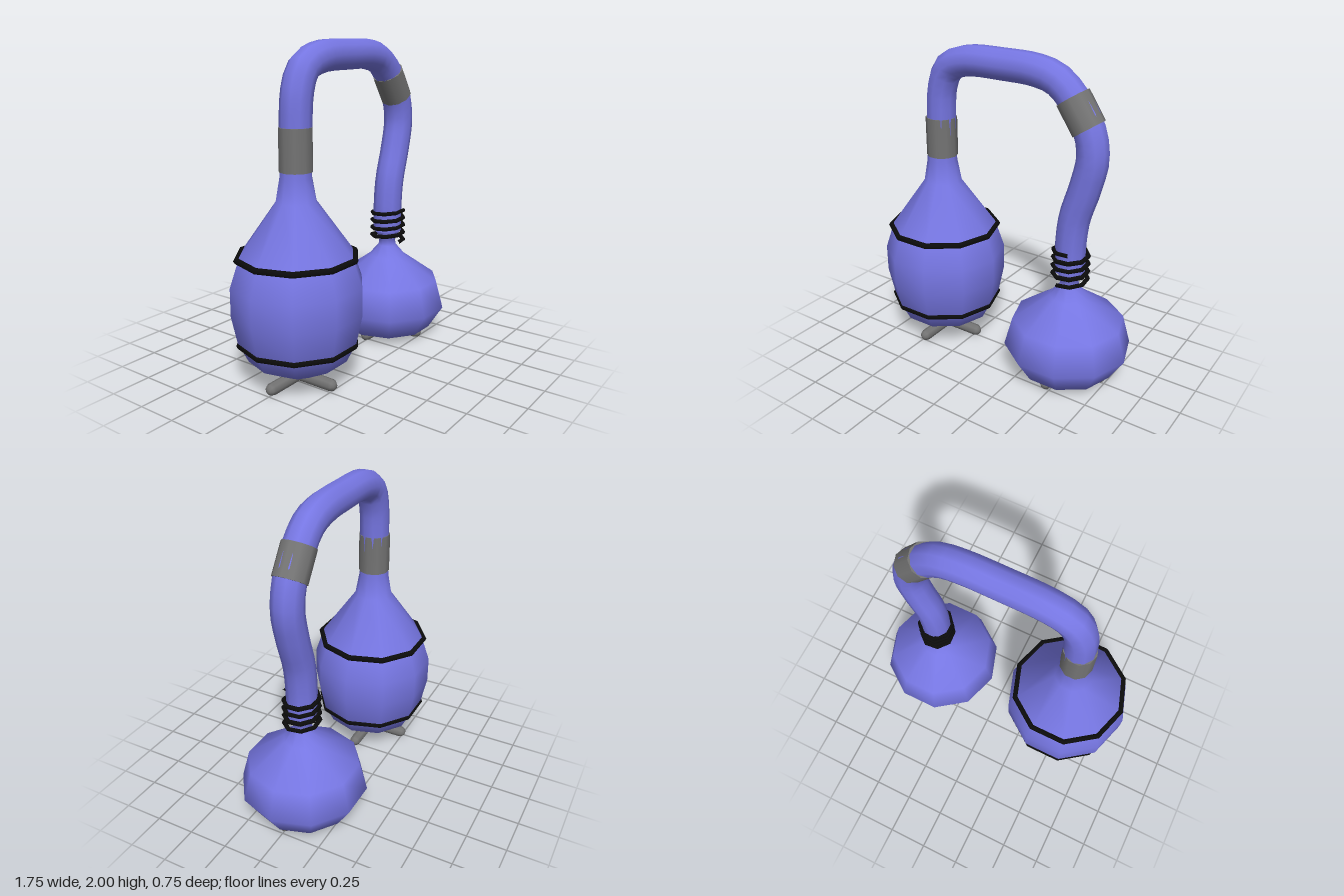
import * as THREE from 'three';

const material = (name, color) => {
  const m = new THREE.MeshStandardMaterial({ color });
  m.name = name;
  return m;
};

// Rising helix used for the spring
class Helix extends THREE.Curve {
  getPoint(t, target = new THREE.Vector3()) {
    const a = 1.27 + t * Math.PI * 2 * 4.1;
    return target.set(0.48 - 0.107 * Math.cos(a), 0.652 + 0.213 * t, 0.107 * Math.sin(a));
  }
}

export function createModel() {
  const group = new THREE.Group();
  const blue = material('periwinkle', 0x7676e2);
  const grey = material('grey', 0x747474);
  const black = material('black', 0x0c0c0c);

  const add = (name, geometry, mat, x = 0, y = 0, z = 0) => {
    const mesh = new THREE.Mesh(geometry, mat);
    mesh.name = name;
    mesh.position.set(x, y, z);
    group.add(mesh);
    return mesh;
  };

  // Ten-sided vessels with a corner on the x axis
  const vessel = (name, x, profile) => add(name, new THREE.LatheGeometry(
    profile.map(([r, y]) => new THREE.Vector2(r, y)), 10, Math.PI / 2), blue, x);

  vessel('tallVessel', -0.48, [[0, 0.05], [0.12, 0.06], [0.3, 0.16], [0.36, 0.28],
    [0.395, 0.45], [0.395, 0.62], [0.335, 0.8], [0.12, 1.1], [0.095, 1.24], [0.09, 1.32]]);
  vessel('squatVessel', 0.477, [[0, 0.045], [0.3, 0.055], [0.395, 0.205], [0.345, 0.39],
    [0.12, 0.55], [0.06, 0.62], [0.055, 0.66], [0.09, 0.74]]);

  // Bands around the tall vessel
  for (const y of [0.265, 0.78]) {
    add('band', new THREE.TorusGeometry(0.352, 0.018, 6, 10).rotateX(Math.PI / 2), black, -0.48, y);
  }

  // Crossed feet under each vessel
  for (const x of [-0.48, 0.473]) {
    for (const turn of [0, Math.PI / 2]) {
      const bar = new THREE.CapsuleGeometry(0.037, 0.484, 3, 8);
      bar.rotateZ(Math.PI / 2).rotateY(turn);
      add('footBar', bar, grey, x, 0.037);
    }
  }

  // Bent pipe joining the vessels
  const path = new THREE.CatmullRomCurve3([
    [-0.477, 1.27], [-0.475, 1.5], [-0.457, 1.72], [-0.4, 1.84], [-0.27, 1.895], [0, 1.906],
    [0.22, 1.9], [0.35, 1.865], [0.45, 1.78], [0.56, 1.62], [0.593, 1.46],
    [0.555, 1.27], [0.495, 1.07], [0.476, 0.9], [0.476, 0.72],
  ].map(([x, y]) => new THREE.Vector3(x, y, 0)));
  add('pipe', new THREE.TubeGeometry(path, 40, 0.094, 10), blue);

  // Sleeves over the pipe joints
  add('lowerSleeve', new THREE.CylinderGeometry(0.099, 0.099, 0.25, 10, 1, false, Math.PI / 2),
    grey, -0.477, 1.397);
  const upper = add('upperSleeve',
    new THREE.CylinderGeometry(0.102, 0.102, 0.195, 10, 1, false, Math.PI / 2), grey, 0.508, 1.7);
  upper.rotation.z = 0.59;

  // Spring around the squat vessel's neck
  add('spring', new THREE.TubeGeometry(new Helix(), 33, 0.014, 6), black);

  return group;
}
